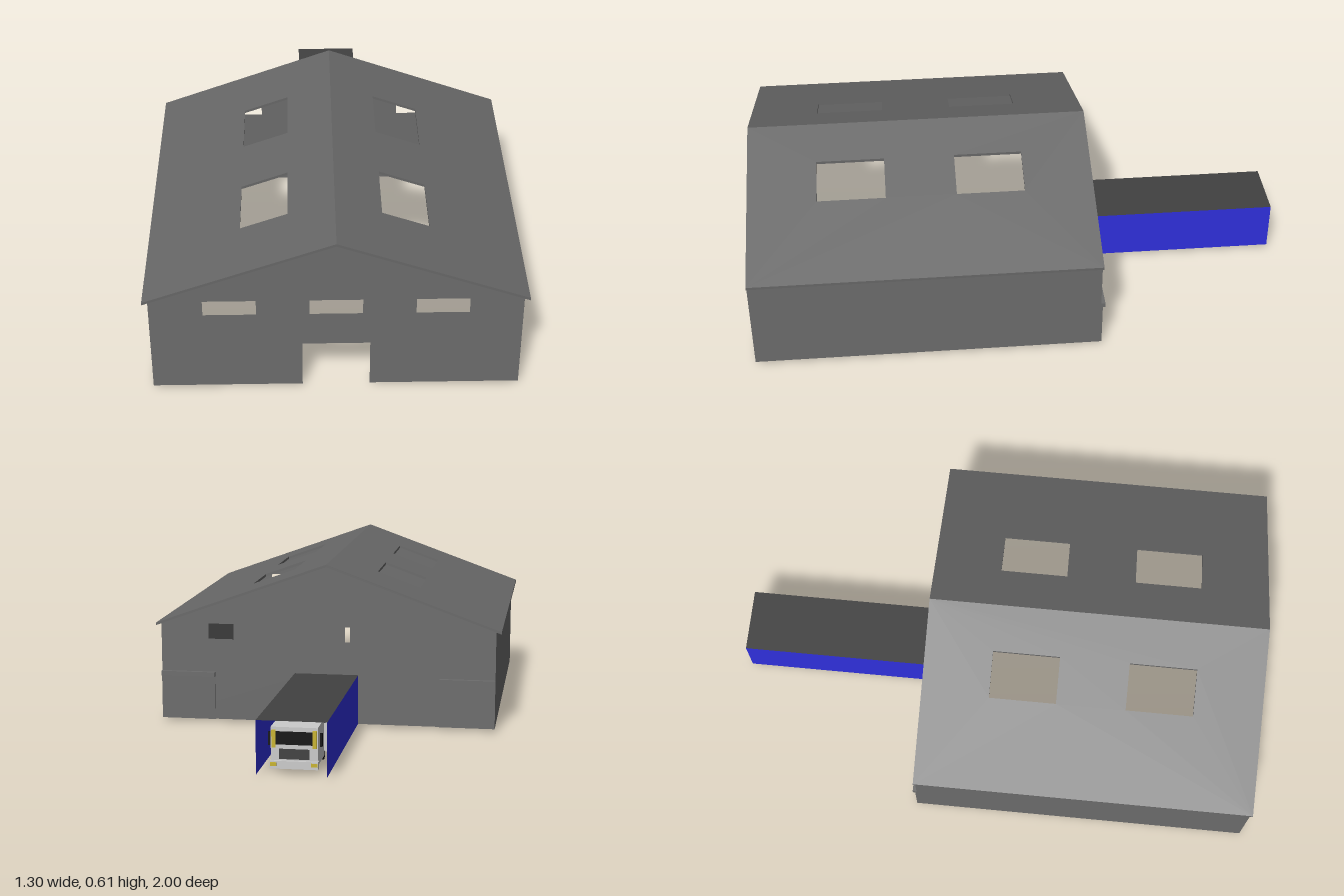
import * as THREE from 'three';

const mat = (color, side = THREE.FrontSide) => new THREE.MeshStandardMaterial({ color, side, flatShading: true });
const wallMat = mat(0x6c6c6c, THREE.DoubleSide);
const roofMat = mat(0x686868, THREE.DoubleSide);
const blue = mat(0x3030dd, THREE.DoubleSide);
const dark = mat(0x414141, THREE.DoubleSide);
const grey = mat(0xcccccc);
const black = mat(0x111111);
const red = mat(0xdd1818);
const orange = mat(0xe8931c);
const yellow = mat(0xc8b430);

// Main dimensions
const BASE = 0.01, RIDGE = 0.61, HALF = 0.632, EAVE = 0.652, BACK = -0.262, FRONT = 1;
const SLOPE = (RIDGE - 0.375) / EAVE;
const roofY = x => RIDGE - Math.abs(x) * SLOPE;

function add(parent, name, geometry, material, x = 0, y = 0, z = 0) {
  const m = new THREE.Mesh(geometry, material);
  m.name = name;
  m.position.set(x, y, z);
  parent.add(m);
  return m;
}

// Box given by its min and max corners
function box(parent, name, material, [x0, y0, z0], [x1, y1, z1]) {
  return add(parent, name, new THREE.BoxGeometry(x1 - x0, y1 - y0, z1 - z0), material,
    (x0 + x1) / 2, (y0 + y1) / 2, (z0 + z1) / 2);
}

function polygon(points, Type = THREE.Shape) {
  return new Type(points.map(p => new THREE.Vector2(...p)));
}

const rect = (x0, y0, x1, y1) => [[x0, y0], [x1, y0], [x1, y1], [x0, y1]];

// Gable wall with a central doorway and three windows
function gable(parent, name, z, doorTop) {
  const d = 0.116;
  const shape = polygon([[-HALF, BASE], [-d, BASE], [-d, doorTop], [d, doorTop], [d, BASE],
    [HALF, BASE], [HALF, roofY(HALF)], [0, RIDGE], [-HALF, roofY(HALF)]]);
  for (const x of [-0.36, 0, 0.36]) {
    shape.holes.push(polygon(rect(x - 0.09, 0.32, x + 0.09, 0.378), THREE.Path));
  }
  add(parent, name, new THREE.ShapeGeometry(shape), wallMat, 0, 0, z);
}

// Roof slope with two skylight openings, drawn in plan and tilted to the pitch
function roofSlope(parent, side) {
  const shape = polygon(rect(0, BACK - 0.003, EAVE, FRONT));
  for (const z of [-0.012, 0.497]) {
    shape.holes.push(polygon(rect(0.162, z, 0.326, z + 0.25), THREE.Path));
  }
  const t = 0.01;
  const geo = new THREE.ExtrudeGeometry(shape, { depth: t, bevelEnabled: false });
  const p = geo.attributes.position;
  for (let i = 0; i < p.count; i++) {
    const x = p.getX(i), z = p.getY(i), h = p.getZ(i);
    p.setXYZ(i, side * x, roofY(x) + h - t + 0.002, z);
  }
  // Keep the corner order facing outwards on the unmirrored half
  if (side > 0) {
    const a = p.array;
    for (let i = 0; i < a.length; i += 9) {
      for (let k = 0; k < 3; k++) [a[i + 3 + k], a[i + 6 + k]] = [a[i + 6 + k], a[i + 3 + k]];
    }
  }
  geo.computeVertexNormals();
  add(parent, side > 0 ? 'leftRoofSlope' : 'rightRoofSlope', geo, roofMat);
}

function buildHall() {
  const hall = new THREE.Group();
  hall.name = 'hall';
  gable(hall, 'frontWall', FRONT - 0.001, 0.19);
  gable(hall, 'backWall', BACK, 0.18);
  for (const s of [-1, 1]) {
    const wall = add(hall, s > 0 ? 'leftWall' : 'rightWall',
      new THREE.PlaneGeometry(FRONT - BACK, roofY(HALF) - BASE), wallMat,
      s * HALF, (roofY(HALF) + BASE) / 2, (FRONT + BACK) / 2);
    wall.rotation.y = s * Math.PI / 2;
    roofSlope(hall, s);
    // Closed roller shutters at the back corners
    const x0 = s > 0 ? 0.425 : -HALF, x1 = s > 0 ? HALF : -0.425;
    box(hall, 'shutter', wallMat, [x0, BASE, BACK - 0.006], [x1, 0.175, BACK]);
    box(hall, 'shutterHousing', wallMat, [x0, 0.175, BACK - 0.015], [x1, 0.193, BACK]);
  }
  // Raised shutter over the middle bay
  box(hall, 'middleShutterHousing', wallMat, [-0.117, 0.173, BACK - 0.012], [0.117, 0.193, BACK]);
  return hall;
}

function buildTunnel() {
  const tunnel = new THREE.Group();
  tunnel.name = 'loadingTunnel';
  for (const s of [-1, 1]) {
    const side = add(tunnel, 'tunnelWall', new THREE.PlaneGeometry(1 + BACK, 0.187), blue,
      s * 0.12, 0.1035, (BACK - 1) / 2);
    side.rotation.y = s * Math.PI / 2;
  }
  const roof = add(tunnel, 'tunnelRoof', new THREE.PlaneGeometry(0.24, 1 + BACK), dark,
    0, 0.197, (BACK - 1) / 2);
  roof.rotation.x = -Math.PI / 2;
  return tunnel;
}

function buildTruck() {
  const truck = new THREE.Group();
  truck.name = 'truck';
  box(truck, 'chassis', dark, [-0.045, 0.025, -0.9], [0.045, 0.04, -0.28]);
  box(truck, 'cargoBody', grey, [-0.085, 0.04, -0.78], [0.09, 0.14, -0.285]);
  box(truck, 'cargoCover', dark, [-0.078, 0.14, -0.78], [0.086, 0.172, -0.29]);
  box(truck, 'rearBumper', grey, [-0.085, 0.025, -0.285], [0.092, 0.042, -0.278]);
  box(truck, 'rearPlate', red, [-0.038, 0.017, -0.284], [0.045, 0.024, -0.275]);
  box(truck, 'rearPlateStripe', orange, [-0.038, 0.012, -0.284], [0.045, 0.017, -0.275]);

  // Cab facing the open end of the tunnel
  box(truck, 'cab', grey, [-0.078, 0.03, -0.935], [0.082, 0.16, -0.8]);
  box(truck, 'windscreen', black, [-0.07, 0.1, -0.938], [0.074, 0.145, -0.933]);
  box(truck, 'grille', dark, [-0.05, 0.05, -0.938], [0.054, 0.085, -0.933]);
  box(truck, 'frontBumper', grey, [-0.08, 0.018, -0.945], [0.084, 0.045, -0.92]);
  for (const s of [-1, 1]) {
    const x = 0.002 + s * 0.07;
    box(truck, 'tailLight', red, [x - 0.011, 0.029, -0.28], [x + 0.011, 0.038, -0.275]);
    box(truck, 'indicator', orange, [x - s * 0.018 - 0.005, 0.029, -0.28], [x - s * 0.018 + 0.005, 0.038, -0.275]);
    box(truck, 'headlight', yellow, [x - 0.011, 0.028, -0.949], [x + 0.011, 0.04, -0.944]);
    box(truck, 'cabCorner', yellow, [x - 0.007, 0.09, -0.94], [x + 0.007, 0.15, -0.93]);
    box(truck, 'mirror', black, [s * 0.088 - 0.004, 0.095, -0.93], [s * 0.088 + 0.004, 0.14, -0.915]);
  }

  // Wheels: two steering axles and one wider rear axle
  for (const [z, x, y] of [[-0.87, 0.058, 0.022], [-0.74, 0.058, 0.022], [-0.33, 0.086, 0.03]]) {
    for (const s of [-1, 1]) {
      const wheel = add(truck, 'wheel', new THREE.CylinderGeometry(0.022, 0.022, 0.02, 16), black, s * x, y, z);
      wheel.rotation.z = Math.PI / 2;
    }
    const axle = add(truck, 'axle', new THREE.CylinderGeometry(0.005, 0.005, 2 * x, 8), dark, 0, y, z);
    axle.rotation.z = Math.PI / 2;
  }
  return truck;
}

export function createModel() {
  const model = new THREE.Group();
  model.name = 'warehouse';
  model.add(buildHall(), buildTunnel(), buildTruck());
  return model;
}
